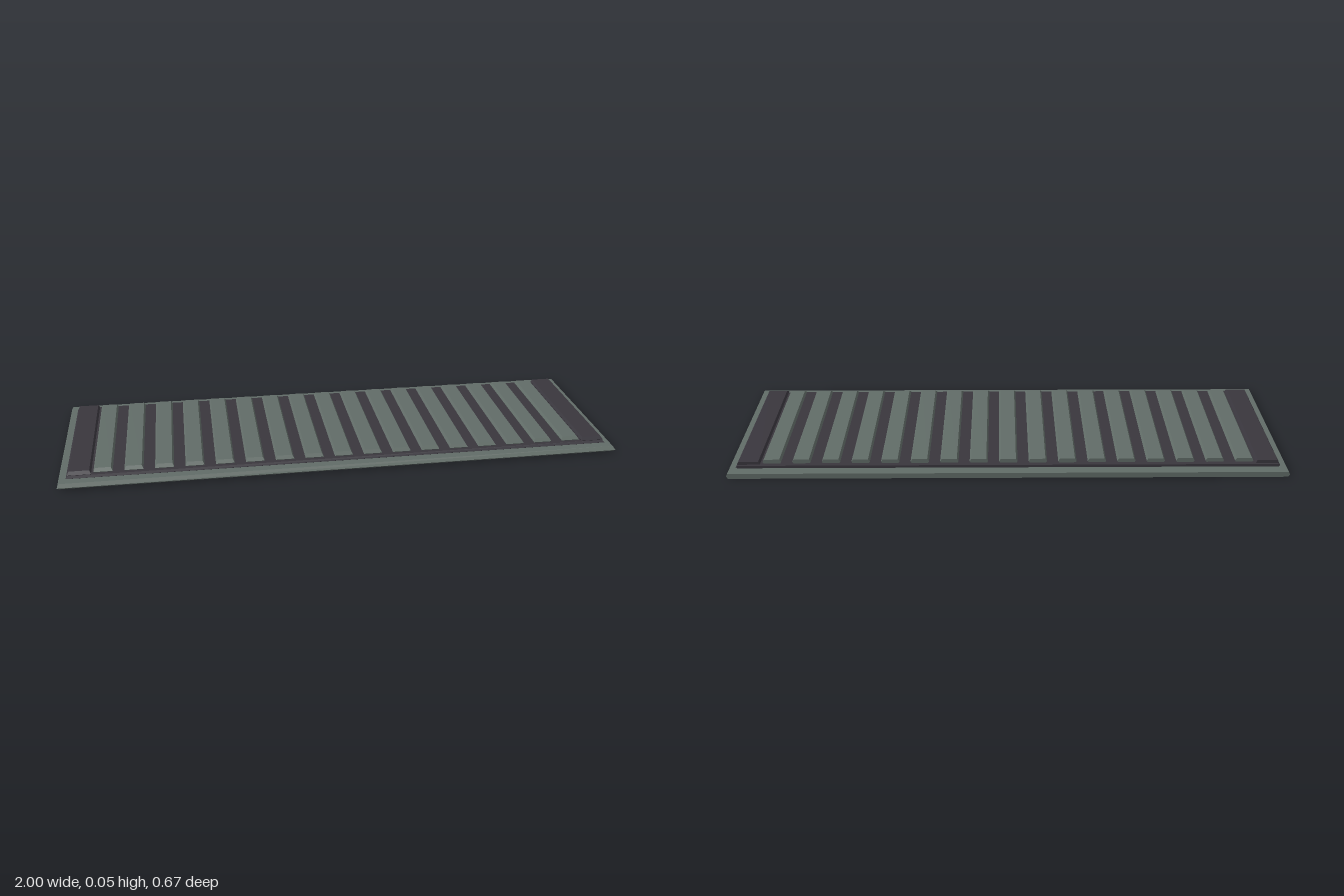
import * as THREE from 'three';

// Slab whose front and side edges come to a bevelled ridge at mid height; the back is square.
function slab({ x0, x1, back, front, y0, y1, side, nose }) {
  const ym = (y0 + y1) / 2;
  const ring = (y, s, n) => [
    [x0 + s, y, back], [x0 + s, y, front - n],
    [x1 - s, y, front - n], [x1 - s, y, back],
  ];
  const rings = [ring(y0, side, nose), ring(ym, 0, 0), ring(y1, side, nose)];
  const pos = [];
  const quad = (a, b, c, d) => pos.push(...a, ...b, ...c, ...a, ...c, ...d);
  for (let r = 0; r < 2; r++) {
    for (let i = 0; i < 4; i++) {
      const j = (i + 1) % 4;
      quad(rings[r][i], rings[r][j], rings[r + 1][j], rings[r + 1][i]);
    }
  }
  quad(...rings[2]);
  quad(...[...rings[0]].reverse());
  const g = new THREE.BufferGeometry();
  g.setAttribute('position', new THREE.Float32BufferAttribute(pos, 3));
  g.computeVertexNormals();
  return g;
}

export function createModel() {
  const group = new THREE.Group();
  const greyGreen = new THREE.MeshStandardMaterial({ color: 0x616c67 });
  greyGreen.name = 'grey green metal';
  const charcoal = new THREE.MeshStandardMaterial({ color: 0x39363d });
  charcoal.name = 'charcoal metal';

  const add = (name, material, dims) => {
    const mesh = new THREE.Mesh(slab(dims), material);
    mesh.name = name;
    group.add(mesh);
  };

  // Base plate and the dark bed lying on it
  add('basePlate', greyGreen, { x0: -1, x1: 1, back: -0.337, front: 0.337, y0: 0, y1: 0.02, side: 0.006, nose: 0.014 });
  add('bed', charcoal, { x0: -0.972, x1: 0.972, back: -0.298, front: 0.298, y0: 0.019, y1: 0.03, side: 0.006, nose: 0.01 });

  // Raised plate at each end
  for (const s of [-1, 1]) {
    const a = s * 0.968, b = s * 0.886;
    add(s > 0 ? 'leftEndPlate' : 'rightEndPlate', charcoal, {
      x0: Math.min(a, b), x1: Math.max(a, b), back: -0.29, front: 0.29, y0: 0.024, y1: 0.042, side: 0.006, nose: 0.013,
    });
  }

  // Row of cross ribs
  const count = 17, pitch = 0.1057;
  for (let i = 0; i < count; i++) {
    const x = (i - (count - 1) / 2) * pitch;
    add('rib' + (i + 1), greyGreen, {
      x0: x - 0.033, x1: x + 0.033, back: -0.281, front: 0.281, y0: 0.026, y1: 0.045, side: 0.006, nose: 0.013,
    });
  }
  return group;
}
